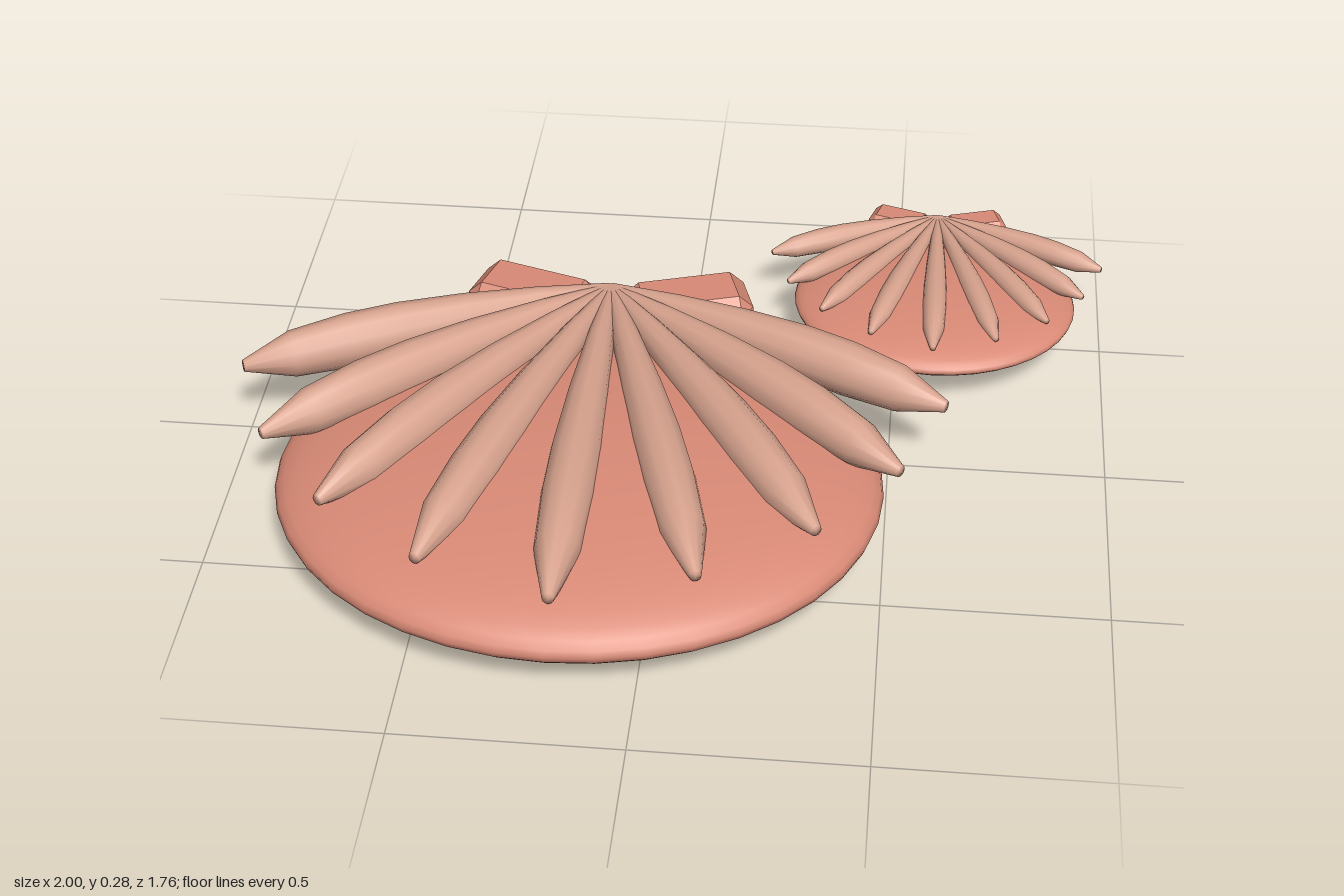
import * as THREE from 'three';
import { ConvexGeometry } from 'three/addons/geometries/ConvexGeometry.js';

const shellMat = new THREE.MeshStandardMaterial({ color: 0xd98a76 });
shellMat.name = 'salmon shell';
const ribMat = new THREE.MeshStandardMaterial({ color: 0xd9a48f });
ribMat.name = 'pale rib';

// Rib: a lathed spindle laid along +z, gently arched, pointed at the tip
function ribGeometry(length) {
  const profile = [[0, 0], [0.014, 0], [0.033, 0.2], [0.049, 0.4], [0.059, 0.58],
    [0.06, 0.72], [0.051, 0.87], [0.013, 1], [0, 1]];
  const g = new THREE.LatheGeometry(
    profile.map(([r, t]) => new THREE.Vector2(r, t * length)), 12);
  g.rotateX(Math.PI / 2);
  g.scale(1, 1.1, 1);
  const p = g.attributes.position;
  for (let i = 0; i < p.count; i++) {
    const t = p.getZ(i) / length;
    p.setY(i, p.getY(i) + 0.05 * t * (1 - t));
  }
  return g;
}

// Box with every edge and corner chamfered
function chamferBox(w, h, d, c) {
  const pts = [];
  for (const x of [-1, 1]) for (const y of [-1, 1]) for (const z of [-1, 1]) {
    const a = w / 2, b = h / 2, e = d / 2;
    pts.push(new THREE.Vector3(x * a, y * (b - c), z * (e - c)),
      new THREE.Vector3(x * (a - c), y * b, z * (e - c)),
      new THREE.Vector3(x * (a - c), y * (b - c), z * e));
  }
  return new ConvexGeometry(pts);
}

function makeShell(name) {
  const shell = new THREE.Group();
  shell.name = name;

  // Flattened body
  const body = new THREE.Mesh(new THREE.SphereGeometry(1, 40, 24), shellMat);
  body.name = 'shellBody';
  body.scale.set(0.68, 0.118, 0.6);
  body.position.set(0, 0.12, 0.27);
  shell.add(body);

  // Fan of ribs spreading from the hinge
  const fan = new THREE.Group();
  fan.name = 'ribFan';
  fan.position.set(0, 0.205, -0.36);
  for (let i = -4; i <= 4; i++) {
    const rib = new THREE.Mesh(ribGeometry(1.14 - 0.06 * Math.abs(i)), ribMat);
    rib.name = 'rib';
    rib.rotation.y = i * THREE.MathUtils.degToRad(16);
    fan.add(rib);
  }
  shell.add(fan);

  // Hinge ears behind the fan
  for (const side of [-1, 1]) {
    const ear = new THREE.Mesh(chamferBox(0.295, 0.125, 0.176, 0.035), shellMat);
    ear.name = side > 0 ? 'leftHingeEar' : 'rightHingeEar';
    ear.position.set(side * 0.187, 0.157, -0.355);
    ear.rotation.y = side * 0.3;
    shell.add(ear);
  }
  return shell;
}

export function createModel() {
  const model = new THREE.Group();
  model.name = 'seashells';

  const large = makeShell('largeShell');
  large.position.set(-0.185, 0, 0);

  const small = makeShell('smallShell');
  small.scale.set(0.5, 0.46, 0.5);
  small.position.set(0.59, 0.06, -0.65);

  model.add(large, small);
  return model;
}
